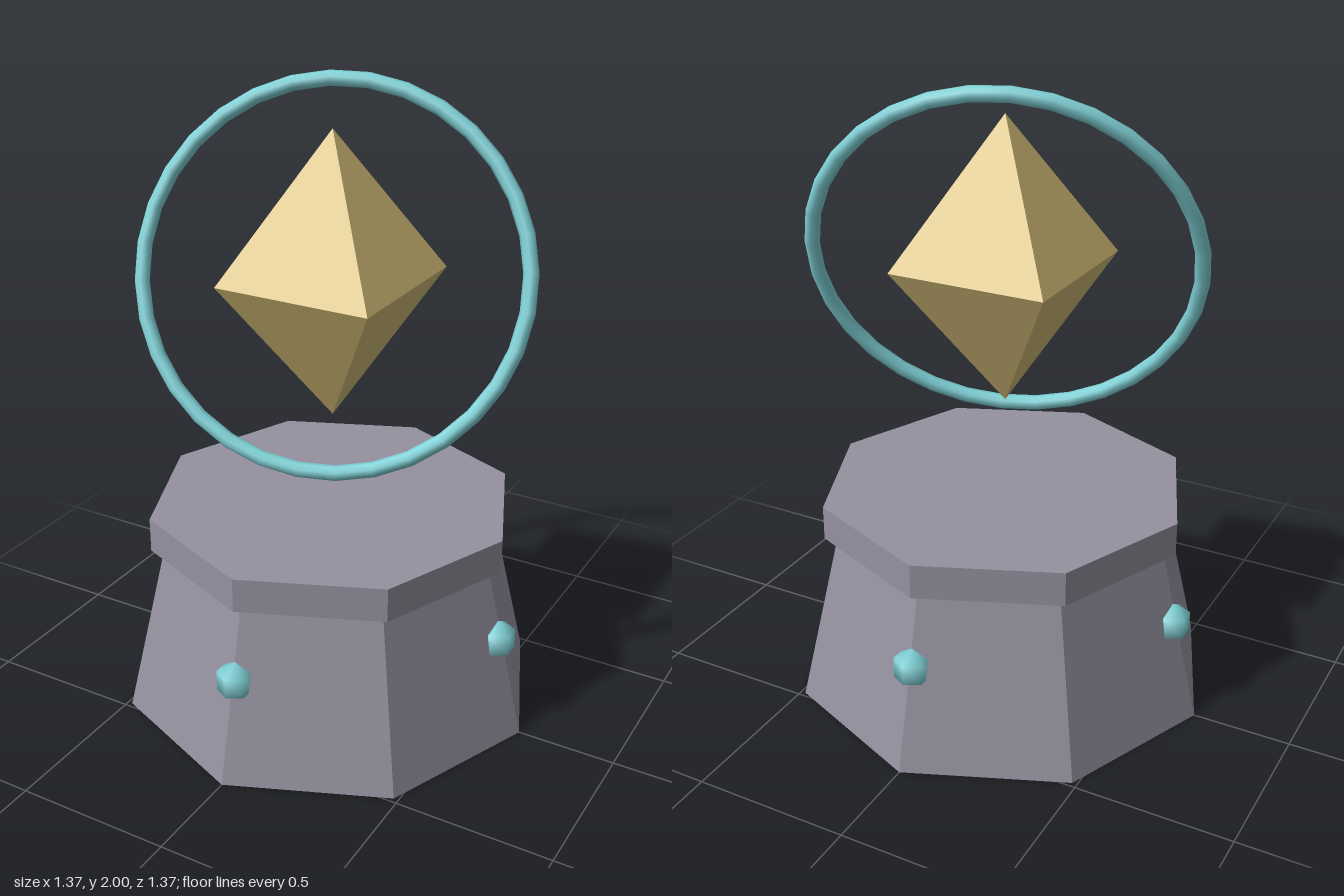
import * as THREE from 'three';

const flat = (geometry) => {
  const g = geometry.toNonIndexed();
  g.computeVertexNormals();
  return g;
};

export function createModel() {
  const model = new THREE.Group();
  model.name = 'crystalPedestal';

  const stone = new THREE.MeshStandardMaterial({ color: 0x9591a0 });
  const gold = new THREE.MeshStandardMaterial({ color: 0xd6bf78 });
  const teal = new THREE.MeshStandardMaterial({ color: 0x7fd1d6 });
  stone.name = 'stone';
  gold.name = 'gold';
  teal.name = 'teal';

  const add = (name, geometry, material, x, y, z) => {
    const mesh = new THREE.Mesh(geometry, material);
    mesh.name = name;
    mesh.position.set(x, y, z);
    model.add(mesh);
    return mesh;
  };

  // Eight-sided tapered pedestal with an overhanging slab
  add('pedestalBody', flat(new THREE.CylinderGeometry(0.55, 0.685, 0.57, 8)), stone, 0, 0.285, 0);
  add('pedestalSlab', flat(new THREE.CylinderGeometry(0.593, 0.593, 0.11, 8)), stone, 0, 0.62, 0);

  // Faceted studs on four of the pedestal's corners
  const stud = new THREE.SphereGeometry(0.064, 6, 3).rotateY(Math.PI / 2);
  const names = ['frontStud', 'leftStud', 'backStud', 'rightStud'];
  names.forEach((name, i) => {
    const a = (i * Math.PI) / 2;
    add(name, stud, teal, 0.593 * Math.sin(a), 0.326, 0.593 * Math.cos(a));
  });

  // Floating crystal: a square double pyramid
  const profile = [[0, -0.453], [0.363, 0], [0, 0.453]].map(([r, y]) => new THREE.Vector2(r, y));
  const crystal = new THREE.LatheGeometry(profile, 4, Math.PI / 4);
  add('crystal', flat(crystal), gold, 0, 1.419, 0);

  // Tilted ring around the crystal
  const ring = add('ring', new THREE.TorusGeometry(0.593, 0.024, 8, 32), teal, 0, 1.419, 0);
  ring.rotation.set(-0.375, 0.32, 0);

  return model;
}
